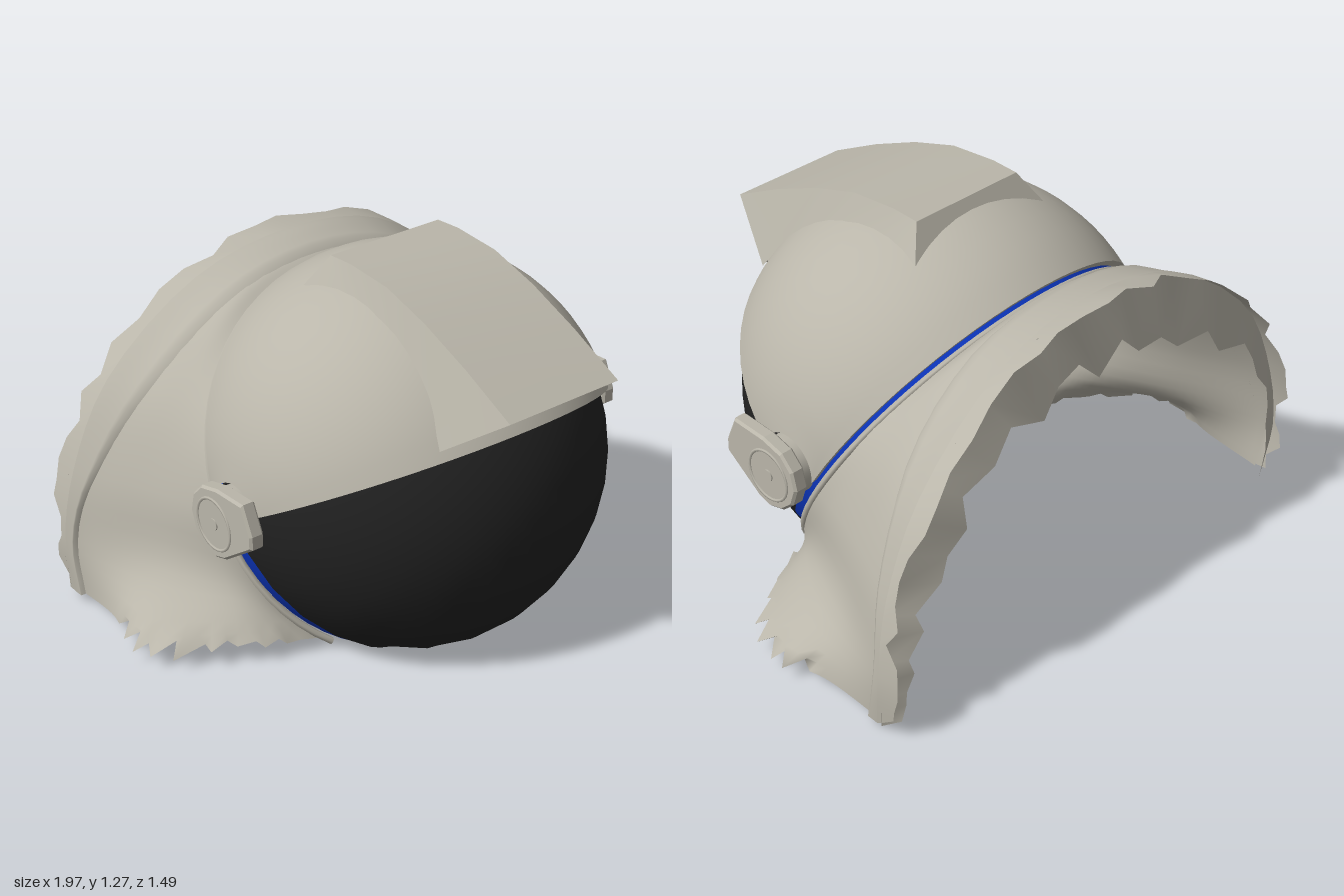
import * as THREE from 'three';

const material = (name, color) =>
  Object.assign(new THREE.MeshStandardMaterial({ color, side: THREE.DoubleSide }), { name });
const PI = Math.PI;
const rad = THREE.MathUtils.degToRad;
const V = (x, y, z) => new THREE.Vector3(x, y, z);

// repeatable noise for torn edges
let seed = 7;
const rand = () => (seed = (seed * 16807) % 2147483647) / 2147483647;

// surface from a rule fn(u, v) over a regular grid
function grid(nu, nv, fn) {
  const pos = [], idx = [];
  for (let i = 0; i <= nu; i++)
    for (let j = 0; j <= nv; j++) pos.push(...fn(i / nu, j / nv).toArray());
  for (let i = 0; i < nu; i++)
    for (let j = 0; j < nv; j++) {
      const a = i * (nv + 1) + j, b = a + nv + 1;
      idx.push(a, b, a + 1, b, b + 1, a + 1);
    }
  const geo = new THREE.BufferGeometry();
  geo.setAttribute('position', new THREE.Float32BufferAttribute(pos, 3));
  geo.setIndex(idx);
  geo.computeVertexNormals();
  return geo;
}

// drops every triangle whose centre fails the test
function keepFaces(geo, test) {
  const src = geo.toNonIndexed(), p = src.attributes.position, n = src.attributes.normal;
  const pos = [], nor = [];
  for (let i = 0; i < p.count; i += 3) {
    const c = V(0, 0, 0);
    for (let k = 0; k < 3; k++) c.add(V(p.getX(i + k), p.getY(i + k), p.getZ(i + k)));
    if (!test(c.divideScalar(3))) continue;
    pos.push(...p.array.slice(i * 3, i * 3 + 9));
    nor.push(...n.array.slice(i * 3, i * 3 + 9));
  }
  const out = new THREE.BufferGeometry();
  out.setAttribute('position', new THREE.Float32BufferAttribute(pos, 3));
  out.setAttribute('normal', new THREE.Float32BufferAttribute(nor, 3));
  return out;
}

export function createModel() {
  seed = 7;
  const grey = material('warm grey', 0xbab6aa);
  const black = material('visor black', 0x222222);
  const blue = material('seal blue', 0x0d37c0);
  const model = new THREE.Group();
  const add = (parent, name, geo, mat) => {
    const m = new THREE.Mesh(geo, mat);
    m.name = name;
    parent.add(m);
  };

  // helmet ball, tipped back 30 degrees
  const helmet = new THREE.Group();
  helmet.name = 'helmet';
  helmet.position.y = 0.55;
  helmet.rotation.x = -PI / 6;
  model.add(helmet);

  // visor dome, torn off near the ground
  const dome = new THREE.SphereGeometry(0.672, 30, 18, 0, PI * 2, 0, rad(96)).rotateX(PI / 2);
  add(helmet, 'visor', keepFaces(dome, c => 0.55 + 0.866 * c.y + 0.5 * c.z > 0.045), black);

  // outer shell: brow plane to neck plane, with thin rims
  const R = 0.7;
  const shellPoint = (u, v, s = 1) => {
    const b = rad(9 + 162 * u), rho = R * Math.sin(b);
    const a0 = -Math.asin(0.02 / rho), a1 = PI / 2 + Math.asin(0.103 / rho);
    const a = a0 + (a1 - a0) * v;
    return V(R * Math.cos(b), rho * Math.sin(a), rho * Math.cos(a)).multiplyScalar(s);
  };
  add(helmet, 'shell', grid(28, 16, (u, v) => shellPoint(u, v)), grey);
  add(helmet, 'browRim', grid(28, 1, (u, v) => shellPoint(u, 0, 1 - 0.04 * v)), grey);
  add(helmet, 'neckRim', grid(28, 1, (u, v) => shellPoint(u, 1, 1 - 0.04 * v)), grey);

  // neck seal and the ridge the collar hangs from
  const around = (degrees, radius, f) =>
    V(radius * Math.cos(rad(degrees)), radius * Math.sin(rad(degrees)), f);
  add(helmet, 'neckSeal', grid(48, 1, (u, v) =>
    around(-54 + 288 * u, 0.665 - 0.014 * v, -0.062 - 0.09 * v)), blue);
  const ridge = new THREE.TorusGeometry(0.674, 0.012, 6, 48, rad(280));
  add(helmet, 'neckRidge', ridge.rotateZ(rad(-50)).translate(0, 0, -0.127), grey);

  // crest: flared hollow box along the top; [z, y, half width] of top edge, then of foot
  const crest = [
    [0.75, 1.03, 0.22, 0.54, 0.88, 0.31],
    [0.55, 1.13, 0.22, 0.46, 0.99, 0.28],
    [0.36, 1.21, 0.22, 0.34, 1.09, 0.265],
    [0.18, 1.265, 0.22, 0.18, 1.165, 0.26],
    [0, 1.28, 0.22, 0, 1.195, 0.26],
    [-0.1, 1.275, 0.22, -0.16, 1.17, 0.285],
  ];
  const crestPoint = (i, foot, side) => {
    const [z, y, x] = crest[i].slice(foot ? 3 : 0);
    return V(side * x, y, z);
  };
  add(model, 'crestTop', grid(5, 1, (u, v) => crestPoint(Math.round(u * 5), false, 2 * v - 1)), grey);
  for (const side of [1, -1])
    add(model, 'crestSide', grid(5, 1, (u, v) => crestPoint(Math.round(u * 5), v > 0, side)), grey);
  add(model, 'crestBack', grid(1, 1, (u, v) => crestPoint(5, u > 0, 2 * v - 1)), grey);
  add(model, 'crestOpening', grid(1, 3, (u, v) => {
    const x = [-1, -0.95, 0.95, 1][Math.round(v * 3)];
    const depth = Math.abs(x) < 1 ? 0.08 : 0.02;
    return V(x * (0.214 + 0.088 * u), 1.027 - 0.15 * u, 0.75 - depth - 0.21 * u);
  }), black);
  for (const x of [-0.145, 0, 0.145]) {
    const lamp = new THREE.CylinderGeometry(0.044, 0.044, 0.09, 16).rotateX(PI / 2);
    add(model, 'crestLamp', lamp.translate(x, 1.014, 0.614), grey);
  }

  // side hubs: pointed plate, round boss, raised ring and button
  const outline = [
    [0.19, 0.0], [0.19, 0.04], [0.15, 0.13], [0.02, 0.125], [-0.06, 0.105], [-0.105, 0.06],
    [-0.12, 0], [-0.1, -0.06], [-0.055, -0.1], [0, -0.115], [0.05, -0.1],
  ].map(([z, y]) => new THREE.Vector2(-z, y));
  const plate = new THREE.ExtrudeGeometry(new THREE.Shape(outline), {
    depth: 0.036, bevelThickness: 0.008, bevelSize: 0.008, bevelSegments: 1,
  }).rotateY(PI / 2).translate(0.73, 0, 0);
  const disc = (r, x0, x1) =>
    new THREE.CylinderGeometry(r, r, x1 - x0, 28).rotateZ(PI / 2).translate((x0 + x1) / 2, 0, 0);
  for (const side of [1, -1]) {
    const hub = new THREE.Group();
    hub.name = side > 0 ? 'leftHub' : 'rightHub';
    hub.position.y = 0.55;
    hub.scale.x = side;
    add(hub, 'hubPlate', plate, grey);
    add(hub, 'hubBoss', disc(0.1, 0.674, 0.725), grey);
    add(hub, 'hubPeg', disc(0.045, 0.655, 0.675), grey);
    const ring = new THREE.TorusGeometry(0.088, 0.006, 6, 28).rotateY(PI / 2);
    add(hub, 'hubRing', ring.translate(0.773, 0, 0), grey);
    add(hub, 'hubButton', disc(0.02, 0.77, 0.778), grey);
    model.add(hub);
  }

  // collar: contours from the neck (first) to the rear edge (last), top centre down to the hem
  const contours = [
    [[0, 1.075, -0.44], [0, 1.095, -0.48], [0, 1.11, -0.53], [0, 1.12, -0.57], [0, 1.125, -0.61]],
    [[0.336, 0.99, -0.4], [0.35, 1.02, -0.45], [0.36, 1.03, -0.51], [0.37, 1.04, -0.57], [0.38, 1.05, -0.62]],
    [[0.585, 0.78, -0.275], [0.605, 0.79, -0.36], [0.64, 0.79, -0.45], [0.68, 0.785, -0.55], [0.73, 0.78, -0.64]],
    [[0.675, 0.49, -0.104], [0.695, 0.49, -0.2], [0.75, 0.49, -0.36], [0.82, 0.49, -0.52], [0.875, 0.49, -0.65]],
    [[0.612, 0.243, 0.038], [0.68, 0.24, -0.08], [0.78, 0.24, -0.27], [0.87, 0.24, -0.5], [0.92, 0.24, -0.66]],
    [[0.46, 0.06, 0.14], [0.72, 0.09, 0.04], [0.96, 0.07, -0.17], [0.92, 0.06, -0.42], [0.91, 0.04, -0.64]],
  ];
  const arches = [0, 1, 2, 3, 4].map(k => {
    const half = contours.map(c => V(...c[k]));
    const mirrored = half.slice(1).reverse().map(p => V(-p.x, p.y, p.z));
    return new THREE.CatmullRomCurve3([...mirrored, ...half]);
  });
  const collarPoint = (u, v) =>
    new THREE.CatmullRomCurve3(arches.map(a => a.getPoint(u))).getPoint(v);
  add(model, 'collar', grid(50, 28, (u, v) => {
    const p = collarPoint(u, v);
    const column = Math.round(v * 28);
    // torn hem, with the longest points at the widest part
    if ((u === 0 || u === 1) && column > 2 && column < 19) {
      const reach = column > 9 ? 1 : 0.4, out = column % 2 ? 1 : -1;
      p.x *= 1 + reach * (out * 0.045 * (0.3 + 0.7 * rand()) - 0.005);
      p.y -= reach * out * 0.035 * rand();
      p.z += 0.03 * (rand() - 0.5);
    }
    return p;
  }), grey);

  // raised outer band that widens toward the top of the collar
  const bandPoint = (u, v) => {
    const start = 0.95 - 0.75 * Math.pow(Math.sin(PI * u), 4);
    const p = collarPoint(u, start + (1 - start) * v);
    const lift = v === 0 ? 1 : 1.016;
    return V(p.x * lift, 0.3 + (p.y - 0.3) * lift, p.z);
  };
  add(model, 'collarBand', grid(40, 8, (u, v) => bandPoint(u, v)), grey);

  // torn cloth along the rear edge: one layer hangs inward, one points backward
  add(model, 'rearCurtain', grid(32, 1, (u, v) => {
    const p = bandPoint(u, 1);
    const high = Math.pow(Math.sin(PI * u), 2);
    if (v > 0) p.lerp(V(0, 0.3, p.z), 0.04 + 0.12 * high + (0.04 + 0.14 * high) * rand());
    p.z -= v > 0 ? 0.06 : 0.02;
    return p;
  }), grey);
  add(model, 'rearFringe', grid(40, 1, (u, v) => {
    const p = bandPoint(u, 1);
    if (v > 0) {
      p.y += 0.015 * rand();
      p.z -= 0.02 + 0.07 * rand();
    }
    return p;
  }), grey);

  return model;
}
